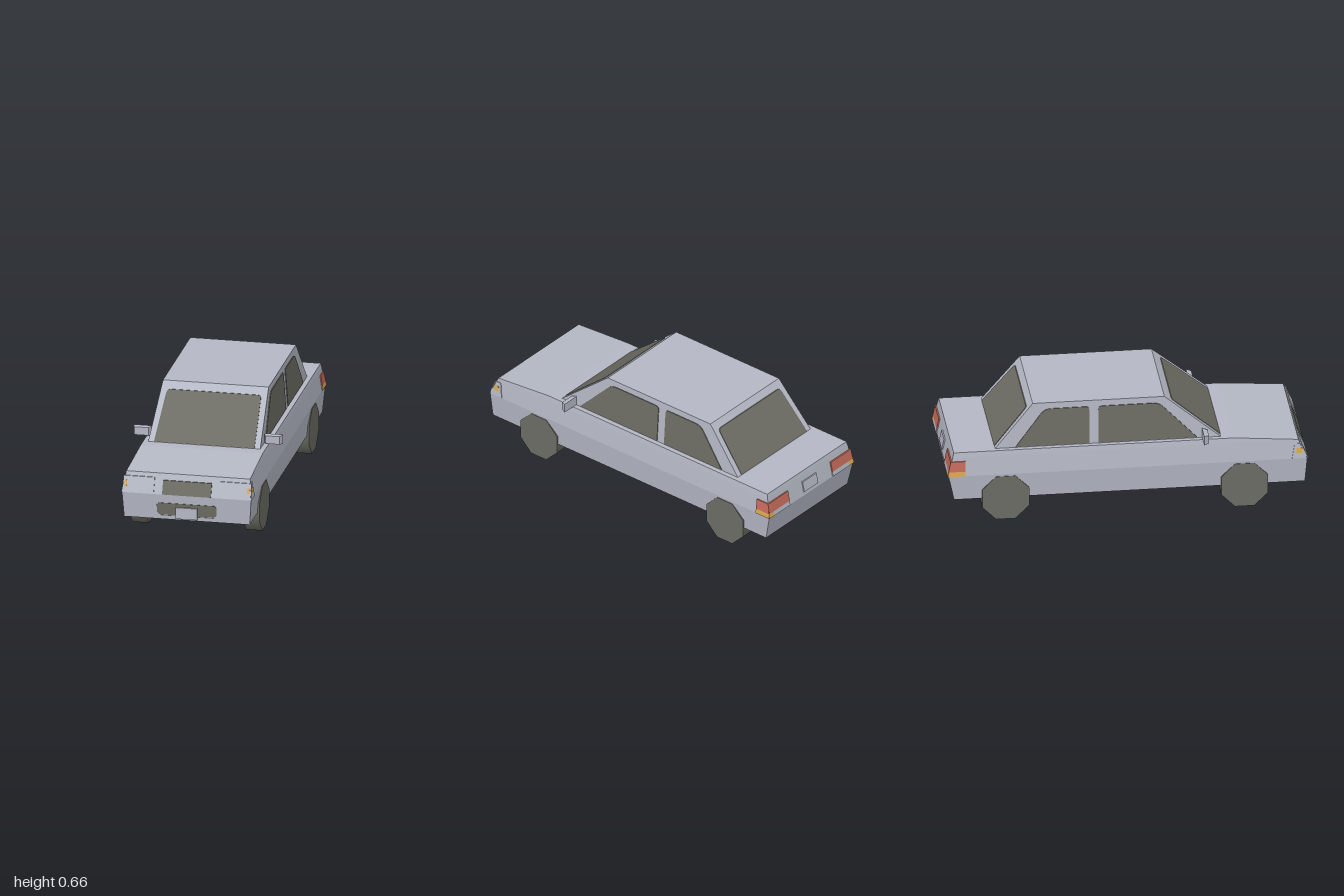
import * as THREE from 'three';

const mat = (name, color) => {
  const m = new THREE.MeshStandardMaterial({ color });
  m.name = name;
  return m;
};

// Levels are [y, half width, front z, back z], from bottom to top
const BODY = [
  [0.13, 0.353, 0.982, -0.963],
  [0.273, 0.363, 0.994, -0.993],
  [0.382, 0.348, 0.947, -0.97],
  [0.41, 0.343, 0.59, -0.963],
];
const CABIN = [
  [0.41, 0.315, 0.52, -0.73],
  [0.665, 0.297, 0.21, -0.52],
];

// Value of one column of a level table at height y
function at(levels, y, col) {
  let i = 0;
  while (i < levels.length - 2 && y > levels[i + 1][0]) i++;
  const [a, b] = [levels[i], levels[i + 1]];
  return a[col] + ((b[col] - a[col]) * (y - a[0])) / (b[0] - a[0]);
}

// Closed faceted hull through rectangular levels
function loft(levels) {
  const pos = [];
  const quad = (a, b, c, d) => pos.push(...a, ...b, ...c, ...a, ...c, ...d);
  const rings = levels.map(([y, w, f, b]) => [[-w, y, f], [w, y, f], [w, y, b], [-w, y, b]]);
  for (let i = 0; i < rings.length - 1; i++) {
    for (let k = 0; k < 4; k++) {
      const n = (k + 1) % 4;
      quad(rings[i][k], rings[i][n], rings[i + 1][n], rings[i + 1][k]);
    }
  }
  const [p, q] = [rings[0], rings[rings.length - 1]];
  quad(p[3], p[2], p[1], p[0]);
  quad(q[0], q[1], q[2], q[3]);
  const g = new THREE.BufferGeometry();
  g.setAttribute('position', new THREE.Float32BufferAttribute(pos, 3));
  g.computeVertexNormals();
  return g;
}

// Outline whose corners [x, y, radius] may be rounded
function outline(points) {
  const s = new THREE.Shape();
  const n = points.length;
  points.forEach(([x, y, r = 0], i) => {
    const toward = ([px, py]) => {
      const l = Math.hypot(px - x, py - y);
      return [x + ((px - x) * r) / l, y + ((py - y) * r) / l];
    };
    const a = toward(points[(i + n - 1) % n]);
    const b = toward(points[(i + 1) % n]);
    if (i === 0) s.moveTo(...a);
    else s.lineTo(...a);
    if (r) s.quadraticCurveTo(x, y, ...b);
  });
  s.closePath();
  return s;
}

// Rules laying a flat plate (a, y, depth) onto each side of a hull
const onto = {
  front: (L) => (a, y, d) => [a, y, at(L, y, 2) + d],
  back: (L) => (a, y, d) => [-a, y, at(L, y, 3) - d],
  left: (L) => (a, y, d) => [at(L, y, 1) + d, y, -a],
  right: (L) => (a, y, d) => [-at(L, y, 1) - d, y, a],
};

function plate(points, rule, depth = 0.004) {
  const g = new THREE.ExtrudeGeometry(outline(points), { depth, bevelEnabled: false, curveSegments: 4 });
  const p = g.attributes.position;
  for (let i = 0; i < p.count; i++) p.setXYZ(i, ...rule(p.getX(i), p.getY(i), p.getZ(i)));
  g.computeVertexNormals();
  return g;
}

const rect = (x0, x1, y0, y1) => [[x0, y0], [x1, y0], [x1, y1], [x0, y1]];
const flip = (points) => points.map(([x, y, r]) => [-x, y, r]).reverse();

export function createModel() {
  const paint = mat('silver paint', 0xb4b8c4);
  const dark = mat('dark glass and rubber', 0x6d6d65);
  const red = mat('red lamp', 0xc56a5a);
  const amber = mat('amber lamp', 0xd9a650);

  const car = new THREE.Group();
  car.name = 'saloonCar';
  const add = (name, geometry, material, x = 0, y = 0, z = 0) => {
    const m = new THREE.Mesh(geometry, material);
    m.name = name;
    m.position.set(x, y, z);
    car.add(m);
    return m;
  };

  add('body', loft(BODY), paint);
  add('cabin', loft(CABIN), paint);
  add('underside', new THREE.BoxGeometry(0.704, 0.005, 1.942), dark, 0, 0.13, 0.0095);

  // Windscreen and rear window
  const screen = [[-0.283, 0.412], [0.283, 0.412], [0.265, 0.63, 0.02], [-0.265, 0.63, 0.02]];
  add('windscreen', plate(screen, onto.front(CABIN)), dark);
  add('rearWindow', plate(screen, onto.back(CABIN)), dark);

  // Side windows, as [z, y]
  const frontDoor = [[-0.157, 0.414], [0.39, 0.414], [0.18, 0.63, 0.035], [-0.157, 0.63, 0.02]];
  const rearDoor = [[-0.617, 0.414], [-0.207, 0.414], [-0.207, 0.63, 0.02], [-0.455, 0.63, 0.035]];
  for (const side of ['left', 'right']) {
    const s = side === 'left' ? 1 : -1;
    const face = (pts) => (s > 0 ? flip(pts) : pts);
    const end = (pts) => (s > 0 ? pts : flip(pts));
    const wall = onto[side](BODY);
    const nose = onto.front(BODY);
    const tail = onto.back(BODY);
    add(side + 'FrontWindow', plate(face(frontDoor), onto[side](CABIN)), dark);
    add(side + 'RearWindow', plate(face(rearDoor), onto[side](CABIN)), dark);

    // Headlamp wrapping round the corner, with its indicator
    add(side + 'Headlamp', plate(end(rect(0.185, 0.36, 0.275, 0.36)), nose, 0.006), paint);
    add(side + 'HeadlampSide', plate(face([[0.91, 0.275], [0.992, 0.275], [0.955, 0.36], [0.925, 0.36]]), wall, 0.004), paint);
    add(side + 'Indicator', plate(end(rect(0.338, 0.352, 0.307, 0.338)), nose, 0.007), amber);
    add(side + 'IndicatorSide', plate(face(rect(0.935, 0.967, 0.305, 0.335)), wall, 0.005), amber);

    // Tail lamp wrapping round the corner
    const back = (pts) => (s > 0 ? flip(pts) : pts);
    add(side + 'TailLamp', plate(back(rect(0.185, 0.36, 0.302, 0.36)), tail, 0.007), red);
    add(side + 'TailLampBase', plate(back(rect(0.185, 0.325, 0.275, 0.302)), tail, 0.006), paint);
    add(side + 'RearIndicator', plate(back(rect(0.325, 0.363, 0.275, 0.302)), tail, 0.006), amber);
    add(side + 'TailLampSide', plate(face([[-0.992, 0.302], [-0.9, 0.302], [-0.9, 0.36], [-0.98, 0.36]]), wall, 0.006), red);
    add(side + 'RearIndicatorSide', plate(face([[-0.998, 0.275], [-0.9, 0.275], [-0.9, 0.302], [-0.992, 0.302]]), wall, 0.006), amber);

    // Door mirror, narrower toward the front
    const mirror = new THREE.BoxGeometry(0.105, 0.054, 0.028);
    const p = mirror.attributes.position;
    for (let i = 0; i < p.count; i++) {
      if (p.getZ(i) > 0) p.setXY(i, p.getX(i) * 0.76, p.getY(i) * 0.84);
    }
    mirror.computeVertexNormals();
    add(side + 'Mirror', mirror, paint, s * 0.368, 0.44, 0.43);

    // Eight-sided wheels
    for (const [name, z] of [['FrontWheel', 0.647], ['RearWheel', -0.677]]) {
      const wheel = new THREE.CylinderGeometry(0.1407, 0.1407, 0.092, 8);
      wheel.rotateY(Math.PI / 8).rotateZ(Math.PI / 2);
      add(side + name, wheel, dark, s * 0.319, 0.13, z);
    }
  }

  // Nose details
  const nose = onto.front(BODY);
  add('grille', plate(rect(-0.137, 0.137, 0.275, 0.348), nose, 0.006), dark);
  const intake = [
    [-0.155, 0.157], [0.155, 0.157], [0.168, 0.17], [0.168, 0.214],
    [0.155, 0.225], [-0.155, 0.225], [-0.168, 0.214], [-0.168, 0.17],
  ];
  add('lowerIntake', plate(intake, nose, 0.003), dark);
  add('intakeLip', plate(rect(-0.15, 0.15, 0.151, 0.153), nose, 0.003), dark);
  add('frontPlate', new THREE.BoxGeometry(0.12, 0.065, 0.009), paint, 0, 0.172, 0.9955);

  // Rear number plate
  add('rearPlate', plate(rect(-0.06, 0.06, 0.295, 0.355), onto.back(BODY), 0.007), paint);

  return car;
}
